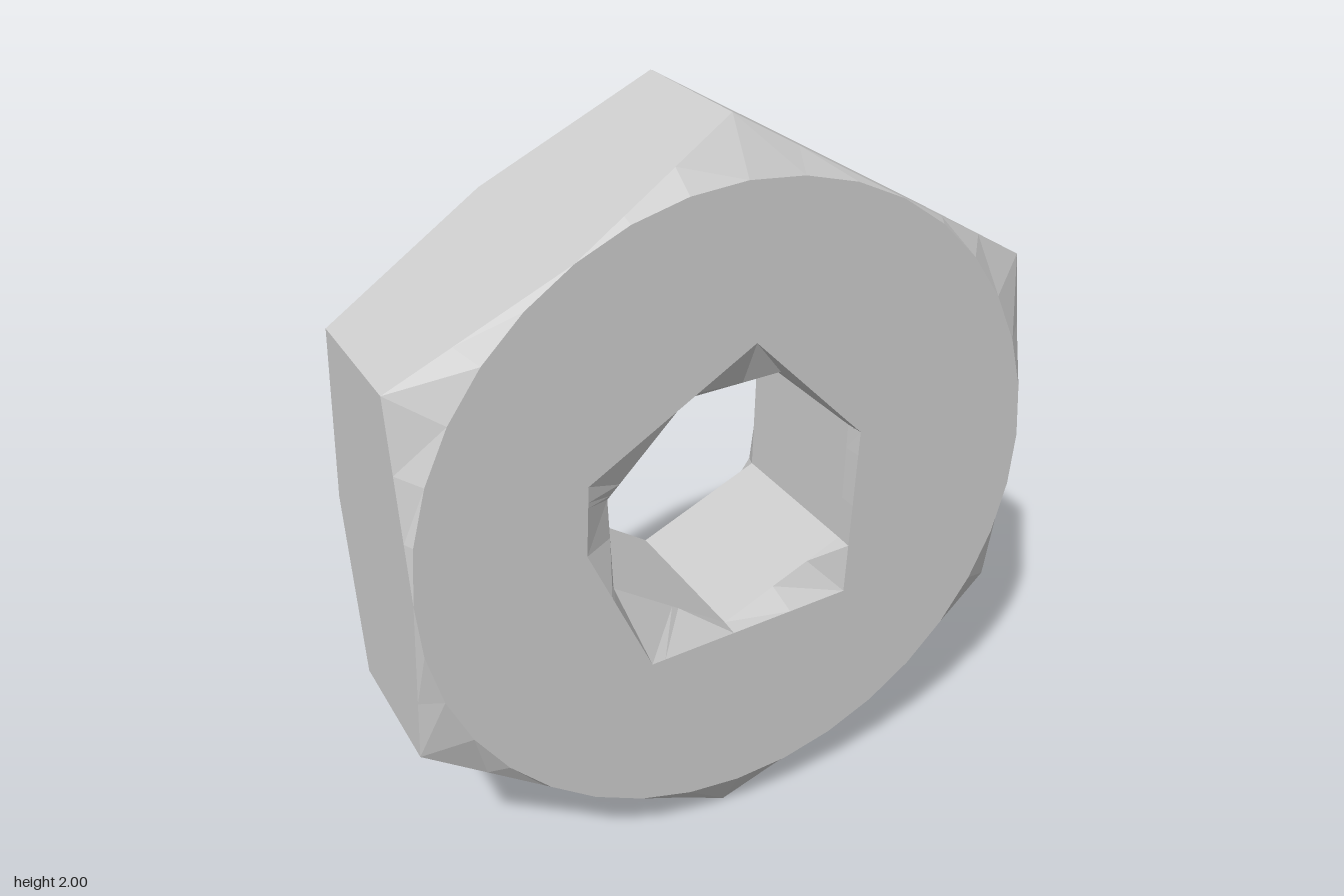
import * as THREE from 'three';

const TAU = Math.PI * 2;
const angleOf = ([x, y]) => (Math.atan2(y, x) + TAU) % TAU;

// Regular loop; radius and depth may depend on the corner index
const ring = (n, radius, z) => Array.from({ length: n }, (_, i) => {
  const a = (i / n) * TAU, r = radius(i);
  return [r * Math.cos(a), r * Math.sin(a), z(i)];
});
const atDepth = (points, z) => points.map(([x, y]) => [x, y, z]);

// Point where a ray from the axis meets a counter-clockwise loop
function sample(loop, angle) {
  const dx = Math.cos(angle), dy = Math.sin(angle);
  for (let i = 0; i < loop.length; i++) {
    const p = loop[i], q = loop[(i + 1) % loop.length];
    const sp = dx * p[1] - dy * p[0], sq = dx * q[1] - dy * q[0];
    if (sp > 1e-7 || sq <= 1e-7) continue;
    const t = sp / (sp - sq);
    const v = new THREE.Vector3(...p).lerp(new THREE.Vector3(...q), t);
    if (v.x * dx + v.y * dy > 0) return v;
  }
  return new THREE.Vector3(...loop[0]);
}

// Join consecutive loops into flat-shaded bands, split at every corner angle
function skin(loops) {
  const sorted = loops.flat().map(angleOf).sort((a, b) => a - b);
  const angles = sorted.filter((a, i) => (i === 0 || a - sorted[i - 1] > 1e-4) && a < TAU - 1e-4);
  const rows = loops.map((loop) => angles.map((a) => sample(loop, a)));
  const positions = [];
  const tri = (a, b, c) => {
    const area = b.clone().sub(a).cross(c.clone().sub(a)).length();
    if (area > 1e-8) [a, b, c].forEach((v) => positions.push(v.x, v.y, v.z));
  };
  for (let k = 0; k < rows.length - 1; k++) {
    for (let i = 0; i < angles.length; i++) {
      const j = (i + 1) % angles.length;
      const a = rows[k], b = rows[k + 1];
      tri(a[i], b[i], b[j]);
      tri(a[i], b[j], a[j]);
    }
  }
  const geometry = new THREE.BufferGeometry();
  geometry.setAttribute('position', new THREE.Float32BufferAttribute(positions, 3));
  geometry.computeVertexNormals();
  return geometry;
}

export function createModel() {
  const group = new THREE.Group();
  group.name = 'hexNut';
  const material = new THREE.MeshStandardMaterial({ color: 0xcccccc, flatShading: true });
  const add = (name, loops) => {
    const mesh = new THREE.Mesh(skin(loops), material);
    mesh.name = name;
    mesh.position.y = 1;
    group.add(mesh);
  };

  const H = 0.28, flat = Math.sqrt(3) / 2, boreZ = 0.23;

  // Hexagon edges dip at the corners and rise to the faces mid-flat
  const hexEdge = (side) => ring(12, (i) => (i % 2 ? 1 : flat), (i) => side * (i % 2 ? 0.2 : H));
  const frontCircle = ring(36, () => flat, () => H);
  const backCircle = ring(12, () => flat, () => -H);

  // Uneven low-poly hole: countersunk rims and the bore between them
  const frontRim = atDepth([[0.345, 0.14], [0.285, 0.2], [0.03, 0.46], [-0.42, 0.19],
    [-0.43, 0], [-0.26, -0.38], [0.32, -0.34]], H);
  const backRim = atDepth([[0.42, 0.09], [0.22, 0.37], [-0.135, 0.39], [-0.43, 0.15],
    [-0.425, -0.165], [-0.236, -0.4], [0.19, -0.44], [0.43, -0.1]], -H);
  const bore = [[0.34, 0.14], [0.13, 0.34], [-0.13, 0.33], [-0.35, 0.11],
    [-0.34, -0.15], [-0.02, -0.36], [0.33, -0.2]];
  const boreFront = atDepth(bore, boreZ), boreBack = atDepth(bore, -boreZ);

  add('frontFace', [frontRim, frontCircle]);
  add('frontChamfer', [frontCircle, hexEdge(1)]);
  add('hexSides', [hexEdge(1), hexEdge(-1)]);
  add('backChamfer', [hexEdge(-1), backCircle]);
  add('backFace', [backCircle, backRim]);
  add('hole', [backRim, boreBack, boreFront, frontRim]);
  return group;
}
